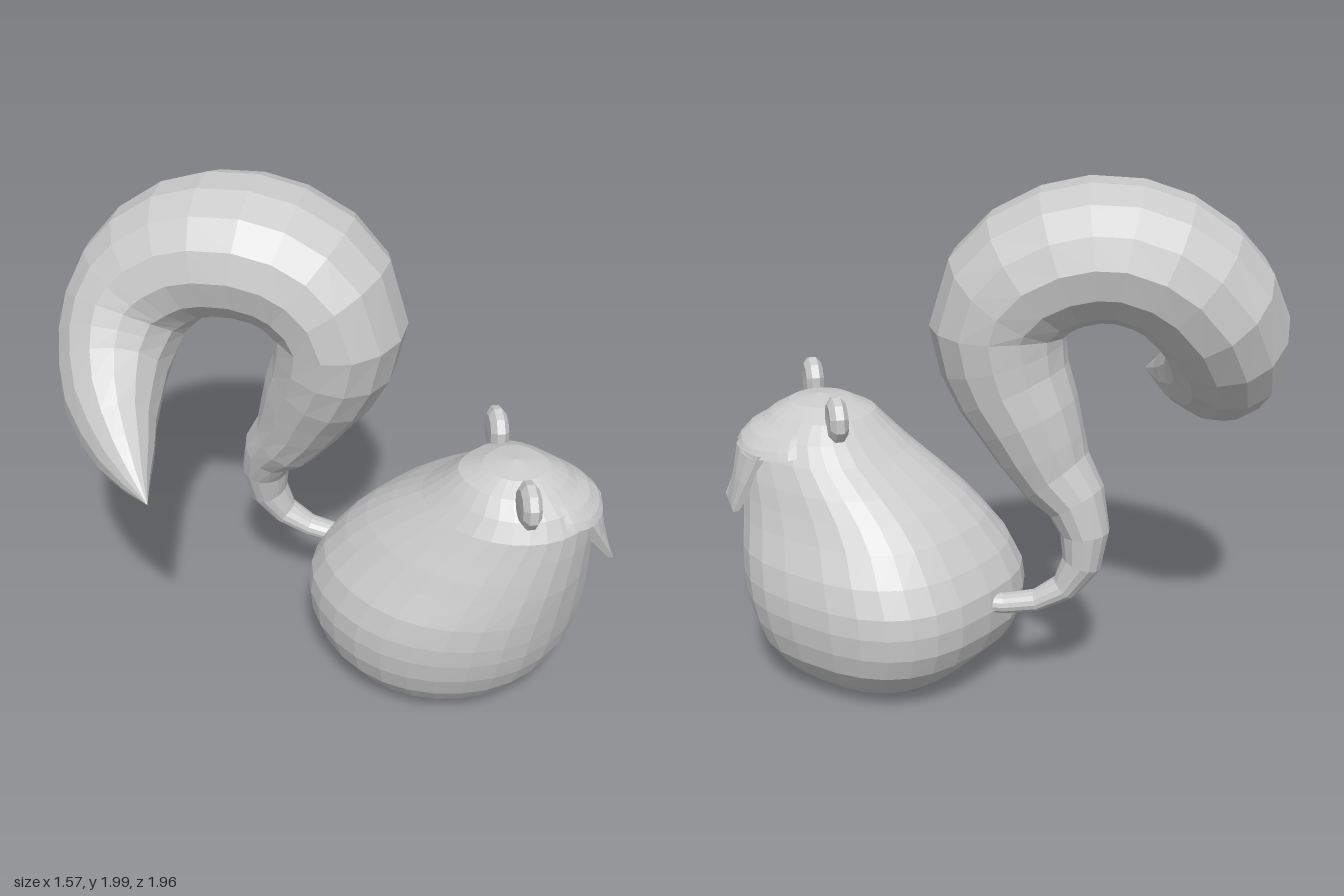
import * as THREE from 'three';

const material = new THREE.MeshStandardMaterial({ color: 0xcccccc, flatShading: true, side: THREE.DoubleSide });

// Skin a list of rings (equal-length arrays of Vector3)
function loft(rings, closed = true) {
  const n = rings[0].length;
  const index = [];
  for (let i = 0; i < rings.length - 1; i++) {
    for (let j = 0; j < (closed ? n : n - 1); j++) {
      const k = (j + 1) % n;
      const a = i * n + j, b = i * n + k, c = a + n, d = b + n;
      index.push(a, b, d, a, d, c);
    }
  }
  const geometry = new THREE.BufferGeometry().setFromPoints(rings.flat());
  geometry.setIndex(index);
  geometry.computeVertexNormals();
  return geometry;
}

function addMesh(group, name, geometry) {
  const mesh = new THREE.Mesh(geometry, material);
  mesh.name = name;
  group.add(mesh);
  return mesh;
}

// Body outline: y, xMin, xMax, zMin, zMax
const bodyRows = [
  [0, 0.09, 0.49, 0.23, 0.55],
  [0.025, -0.02, 0.59, 0.1, 0.66],
  [0.06, -0.08, 0.65, 0.03, 0.72],
  [0.1, -0.12, 0.69, -0.01, 0.77],
  [0.18, -0.18, 0.745, -0.09, 0.83],
  [0.27, -0.21, 0.77, -0.13, 0.87],
  [0.36, -0.22, 0.78, -0.14, 0.895],
  [0.44, -0.215, 0.775, -0.13, 0.91],
  [0.54, -0.185, 0.75, -0.08, 0.925],
  [0.65, -0.12, 0.7, 0, 0.94],
  [0.73, -0.075, 0.67, 0.08, 0.945],
  [0.81, -0.025, 0.645, 0.18, 0.95],
  [0.9, 0.03, 0.61, 0.31, 0.95],
  [0.97, 0.08, 0.565, 0.39, 0.91],
  [1.03, 0.13, 0.5, 0.45, 0.84],
  [1.07, 0.2, 0.43, 0.54, 0.77],
  [1.085, 0.29, 0.34, 0.63, 0.68],
];

const soften = (v, power) => Math.sign(v) * Math.abs(v) ** power;

// Point on the body at height y and angle t (0 = +x, PI / 2 = +z), fuller on its left flank
function bodyPoint(y, t, offset = 0) {
  let i = 0;
  while (i < bodyRows.length - 2 && bodyRows[i + 1][0] < y) i++;
  const f = (y - bodyRows[i][0]) / (bodyRows[i + 1][0] - bodyRows[i][0]);
  const [x0, x1, z0, z1] = [1, 2, 3, 4].map(k => THREE.MathUtils.lerp(bodyRows[i][k], bodyRows[i + 1][k], f));
  const power = 0.87 - 0.13 * Math.cos(t + Math.PI / 4);
  return new THREE.Vector3(
    (x0 + x1) / 2 + ((x1 - x0) / 2 + offset) * soften(Math.cos(t), power),
    y,
    (z0 + z1) / 2 + ((z1 - z0) / 2 + offset) * soften(Math.sin(t + 0.05), power));
}

function bodyGeometry() {
  const sides = 28;
  const rings = bodyRows.map(([y]) =>
    Array.from({ length: sides }, (_, j) => bodyPoint(y, -j / sides * Math.PI * 2)));
  const cap = (ring, y) => {
    const c = ring.reduce((s, p) => s.add(p), new THREE.Vector3()).divideScalar(sides).setY(y);
    return ring.map(() => c.clone());
  };
  return loft([cap(rings[0], 0), ...rings, cap(rings[rings.length - 1], 1.09)]);
}

// Overhanging upper lip with two scallops, blending into the forehead
function lipGeometry() {
  const columns = 20;
  const profile = [[0, -0.02], [0, 0.025], [0.25, 0.026], [0.6, 0.014], [1, -0.01]];
  const rings = profile.map(([v, offset]) =>
    Array.from({ length: columns + 1 }, (_, j) => {
      const u = j / columns;
      const low = 0.925 - 0.03 * Math.abs(Math.sin(u * Math.PI * 2));
      const puff = offset > 0 ? offset * Math.sqrt(Math.sin(u * Math.PI)) : offset;
      return bodyPoint(THREE.MathUtils.lerp(low, 1.02, v), 1.72 - u * 2, puff);
    }));
  return loft(rings, false);
}

// One of two tapering front teeth, bowed forward where they meet under the lip
function toothGeometry(side) {
  const top = [new THREE.Vector3(0.4, 0.91, 0.94), new THREE.Vector3(0.63, 0.91, 0.7)];
  const bottom = [new THREE.Vector3(0.55, 0.67, 0.97), new THREE.Vector3(0.67, 0.67, 0.81)];
  const forward = new THREE.Vector3(0.75, 0, 0.66);
  const geometry = new THREE.BoxGeometry(1, 1, 1, 3, 2, 1);
  const pos = geometry.attributes.position;
  for (let i = 0; i < pos.count; i++) {
    const u = (pos.getX(i) + 0.5) * 0.495 + side * 0.505;
    const v = pos.getY(i) + 0.5;
    const p = bottom[0].clone().lerp(bottom[1], u).lerp(top[0].clone().lerp(top[1], u), v);
    const bow = 0.075 * v * Math.sin(u * Math.PI);
    p.addScaledVector(forward, pos.getZ(i) < 0 ? bow - 0.02 - 0.05 * v : bow);
    pos.setXYZ(i, p.x, p.y, p.z);
  }
  geometry.computeVertexNormals();
  return geometry;
}

// Round ear with a bevelled rim
function earGeometry() {
  const profile = [[0, -0.037], [0.062, -0.035], [0.089, -0.015], [0.089, 0.015], [0.062, 0.035], [0, 0.03]];
  const geometry = new THREE.LatheGeometry(profile.map(p => new THREE.Vector2(...p)), 10);
  return geometry.rotateX(Math.PI / 2);
}

// Tail centre line: x, y, z, radius
const tailPath = [
  [0.27, 0.38, -0.04, 0.038],
  [0.2, 0.38, -0.18, 0.038],
  [0.12, 0.43, -0.32, 0.045],
  [0.065, 0.56, -0.4, 0.075],
  [0.05, 0.76, -0.385, 0.105],
  [0.075, 0.93, -0.26, 0.155],
  [0.1, 1.1, -0.185, 0.195],
  [0.12, 1.3, -0.09, 0.235],
  [0.125, 1.5, -0.065, 0.255],
  [0.065, 1.67, -0.19, 0.26],
  [-0.065, 1.74, -0.4, 0.262],
  [-0.185, 1.68, -0.6, 0.258],
  [-0.3, 1.52, -0.72, 0.25],
  [-0.43, 1.34, -0.7, 0.228],
  [-0.57, 1.2, -0.57, 0.185],
  [-0.69, 1.1, -0.36, 0.105],
  [-0.78, 1.05, -0.15, 0.001],
];

// Oval cross-section, wider across the plane of the curl
function tailGeometry() {
  const curve = new THREE.CatmullRomCurve3(tailPath.map(([x, y, z]) => new THREE.Vector3(x, y, z)));
  const steps = 28, sides = 14;
  const across = new THREE.Vector3(0.87, 0, -0.49).normalize();
  let wide = across;
  const rings = [];
  for (let i = 0; i <= steps; i++) {
    const t = curve.getUtoTmapping(i / steps);
    const s = t * (tailPath.length - 1);
    const k = Math.min(Math.floor(s), tailPath.length - 2);
    const radius = THREE.MathUtils.lerp(tailPath[k][3], tailPath[k + 1][3], s - k);
    const centre = curve.getPoint(t);
    const tangent = curve.getTangent(t);
    // Past the crest, carry the axis along so the tip does not twist
    wide = (t < 0.6 ? across : wide).clone().projectOnPlane(tangent).normalize();
    const thick = tangent.clone().cross(wide);
    rings.push(Array.from({ length: sides }, (_, j) => {
      const a = j / sides * Math.PI * 2;
      return centre.clone()
        .addScaledVector(wide, radius * 1.2 * Math.cos(a))
        .addScaledVector(thick, radius * Math.sin(a));
    }));
  }
  return loft(rings);
}

export function createModel() {
  const model = new THREE.Group();
  model.name = 'squirrel';

  addMesh(model, 'body', bodyGeometry());
  addMesh(model, 'upperLip', lipGeometry());
  addMesh(model, 'rightTooth', toothGeometry(0));
  addMesh(model, 'leftTooth', toothGeometry(1));
  addMesh(model, 'tail', tailGeometry());

  // Ears stand either side of the crown, facing the same way as the teeth
  for (const [name, x, z] of [['rightEar', 0.15, 0.845], ['leftEar', 0.455, 0.45]]) {
    const ear = addMesh(model, name, earGeometry());
    ear.position.set(x, 1.063, z);
    ear.rotation.y = 0.89;
  }
  return model;
}
